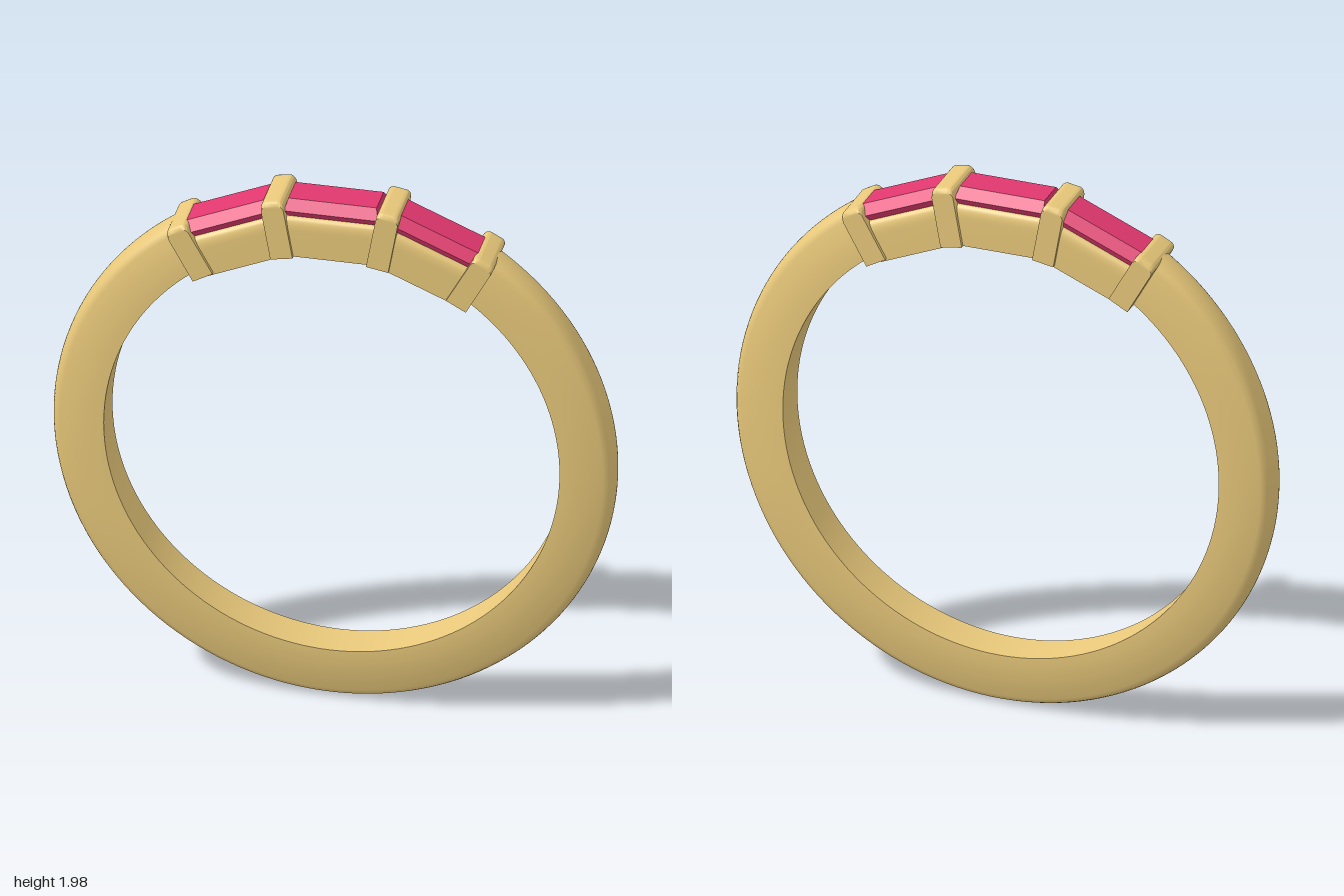
import * as THREE from 'three';
import { toCreasedNormals } from 'three/addons/utils/BufferGeometryUtils.js';

const gold = new THREE.MeshStandardMaterial({ color: 0xe8c87a });
const ruby = new THREE.MeshStandardMaterial({ color: 0xe0386e, flatShading: true });
const rad = THREE.MathUtils.degToRad;

function add(parent, name, geometry, material) {
  const mesh = new THREE.Mesh(geometry, material);
  mesh.name = name;
  parent.add(mesh);
  return mesh;
}

// Domed band, open at the top, a little wider towards the bottom
function bandGeometry() {
  const pts = [[0.81, -0.07], [0.965, -0.07]];
  for (let i = 1; i < 12; i++) {
    const t = -1 + i / 6;
    pts.push([0.965 + 0.035 * Math.sqrt(1 - t * t), 0.07 * t]);
  }
  pts.push([0.965, 0.07], [0.81, 0.07], [0.81, -0.07]);
  const g = new THREE.LatheGeometry(pts.map(p => new THREE.Vector2(...p)), 120, rad(-146), rad(292));
  g.rotateX(Math.PI / 2);
  const p = g.attributes.position;
  for (let i = 0; i < p.count; i++) p.setZ(i, p.getZ(i) * (1 - 0.07 * p.getY(i)));
  return toCreasedNormals(g, rad(35));
}

// Cross bar: flat foot, softly rounded top edges on all four sides
function barGeometry(h) {
  const w = 0.04, r = 0.02, hz = 0.108;
  const s = new THREE.Shape();
  s.moveTo(-w, 0);
  s.lineTo(w, 0);
  s.lineTo(w, h - r);
  s.absarc(w - r, h - r, r, 0, Math.PI / 2);
  s.lineTo(-w + r, h);
  s.absarc(-w + r, h - r, r, Math.PI / 2, Math.PI);
  s.closePath();
  const g = new THREE.ExtrudeGeometry(s, { depth: 2 * hz, steps: 24, bevelEnabled: false, curveSegments: 6 });
  g.translate(0, 0, -hz);
  const p = g.attributes.position;
  for (let i = 0; i < p.count; i++) {
    const t = Math.max(0, Math.abs(p.getZ(i)) - (hz - r));
    if (p.getY(i) > h / 2) {
      p.setY(i, p.getY(i) - 0.7 * (r - Math.sqrt(Math.max(0, r * r - t * t))));
    }
  }
  return toCreasedNormals(g, rad(40));
}

// Channel wall with a rolled outer top edge, running along x
function wallGeometry(halfLength) {
  const s = new THREE.Shape();
  s.moveTo(0.062, 0.77);
  s.lineTo(0.095, 0.77);
  s.lineTo(0.095, 0.87);
  s.quadraticCurveTo(0.095, 0.92, 0.072, 0.922);
  s.lineTo(0.062, 0.922);
  s.closePath();
  const g = new THREE.ExtrudeGeometry(s, { depth: 2 * halfLength, bevelEnabled: false, curveSegments: 8 });
  g.translate(0, 0, -halfLength);
  g.rotateY(-Math.PI / 2);
  return toCreasedNormals(g, rad(35));
}

// Step-cut stone lofted from rectangles [y, half length, half width]
function gemGeometry() {
  const levels = [[0.87, 0.13, 0.045], [0.945, 0.166, 0.088], [0.98, 0.157, 0.056]];
  const pos = [], idx = [];
  for (const [y, a, b] of levels) pos.push(-a, y, b, a, y, b, a, y, -b, -a, y, -b);
  for (let l = 0; l < levels.length - 1; l++) {
    for (let i = 0; i < 4; i++) {
      const a = l * 4 + i, b = l * 4 + (i + 1) % 4;
      idx.push(a, b, b + 4, a, b + 4, a + 4);
    }
  }
  const t = (levels.length - 1) * 4;
  idx.push(0, 2, 1, 0, 3, 2, t, t + 1, t + 2, t, t + 2, t + 3);
  const g = new THREE.BufferGeometry();
  g.setAttribute('position', new THREE.Float32BufferAttribute(pos, 3));
  g.setIndex(idx);
  const flat = g.toNonIndexed();
  flat.computeVertexNormals();
  return flat;
}

export function createModel() {
  const ring = new THREE.Group();
  ring.name = 'ring';
  add(ring, 'band', bandGeometry(), gold).position.y = 1;

  // Three stone settings fanned around the ring centre
  const gem = gemGeometry();
  for (const [name, angle] of [['rightSetting', -23], ['centreSetting', 0], ['leftSetting', 23]]) {
    const setting = new THREE.Group();
    setting.name = name;
    setting.position.y = 1;
    setting.rotation.z = -rad(angle);
    ring.add(setting);
    const half = angle ? 0.145 : 0.165;
    const wall = wallGeometry(half);
    add(setting, 'frontWall', wall, gold);
    add(setting, 'backWall', wall, gold).rotation.y = Math.PI;
    // Cross pieces closing the ends of the open window beneath the stone
    for (const s of [-1, 1]) {
      const end = add(setting, 'windowEnd', new THREE.BoxGeometry(0.04, 0.06, 0.13), gold);
      end.position.set(s * (half - 0.03), 0.801, 0);
    }
    add(setting, 'stone', gem, ruby);
  }

  // Mirrored cross bars: [name, foot x, foot y, tilt, height]
  for (const [name, x, y, tilt, h] of [['innerBar', 0.17, 1.762, 10, 0.222], ['outerBar', 0.45, 1.65, 29, 0.21]]) {
    const geometry = barGeometry(h);
    for (const s of [-1, 1]) {
      const bar = add(ring, name, geometry, gold);
      bar.position.set(s * x, y, 0);
      bar.rotation.z = -s * rad(tilt);
    }
  }
  return ring;
}
